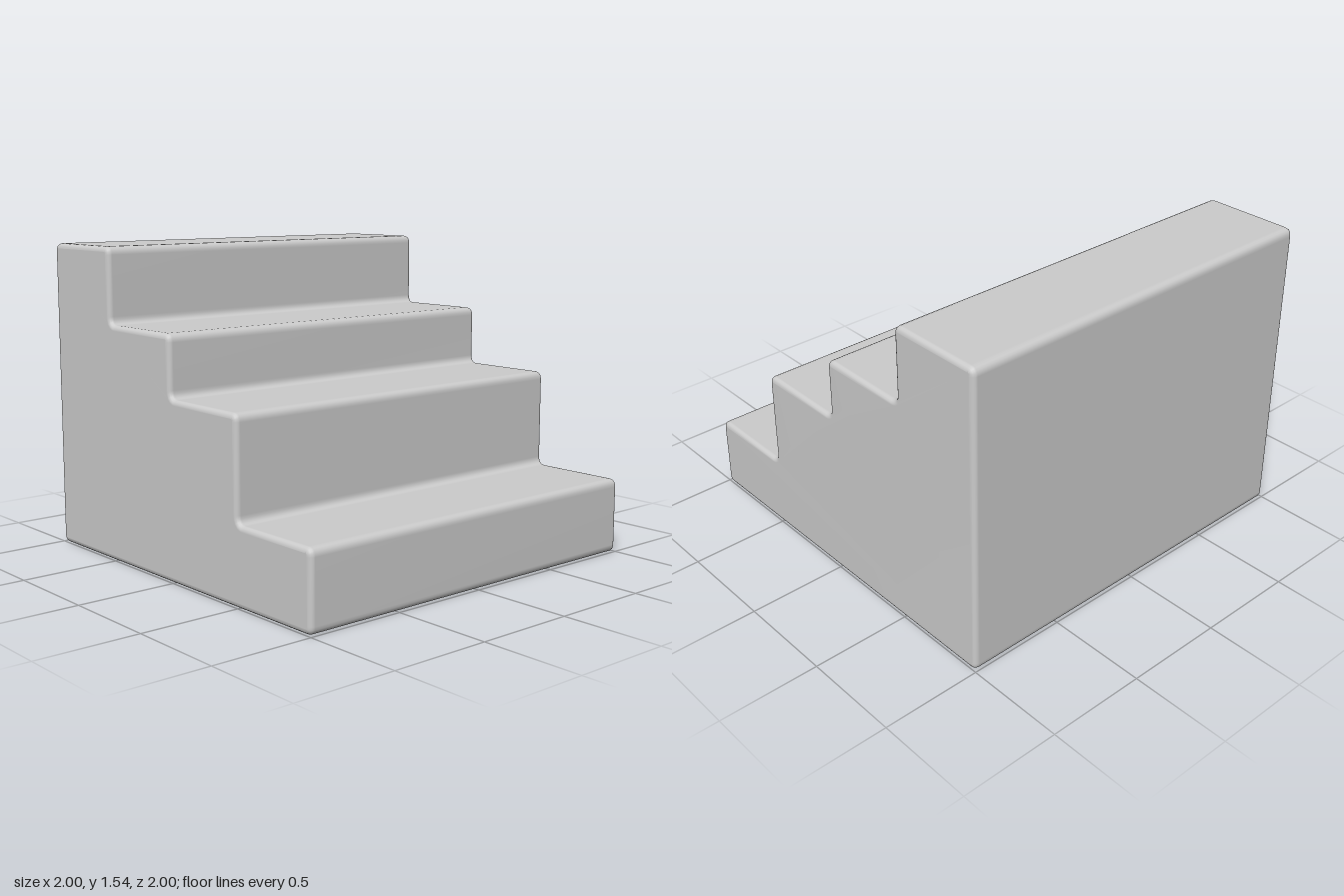
import * as THREE from 'three';
import { mergeVertices } from 'three/addons/utils/BufferGeometryUtils.js';

const TREAD_HEIGHTS = [0.375, 0.865, 1.165, 1.54]; // from +x to -x
const TREAD = 0.5, DEPTH = 2, ROUND = 0.04, BEVEL = 0.025;

// Closed outline with every corner, inner or outer, softened
function roundedOutline(corners, r) {
  const shape = new THREE.Shape();
  corners.forEach((c, i) => {
    const prev = corners.at(i - 1), next = corners[(i + 1) % corners.length];
    const toward = (p) => p.clone().sub(c).setLength(r).add(c);
    const a = toward(prev), b = toward(next);
    if (i === 0) shape.moveTo(a.x, a.y);
    else shape.lineTo(a.x, a.y);
    shape.quadraticCurveTo(c.x, c.y, b.x, b.y);
  });
  shape.closePath();
  return shape;
}

export function createModel() {
  const group = new THREE.Group();
  group.name = 'stairs';

  // Stepped side profile, counter-clockwise
  const corners = [new THREE.Vector2(-1, 0), new THREE.Vector2(1, 0)];
  TREAD_HEIGHTS.forEach((h, i) => {
    corners.push(new THREE.Vector2(1 - i * TREAD, h), new THREE.Vector2(1 - (i + 1) * TREAD, h));
  });

  // Solid block of steps with softened side edges
  const depth = DEPTH - 2 * BEVEL;
  let geometry = new THREE.ExtrudeGeometry(roundedOutline(corners, ROUND), {
    depth, curveSegments: 5, bevelEnabled: true, bevelThickness: BEVEL,
    bevelSize: BEVEL, bevelOffset: -BEVEL, bevelSegments: 4,
  });
  geometry.translate(0, 0, -depth / 2);

  // Area-weighted smooth normals keep the big faces flat
  geometry.deleteAttribute('normal');
  geometry.deleteAttribute('uv');
  geometry = mergeVertices(geometry, 1e-5);
  geometry.computeVertexNormals();

  const steps = new THREE.Mesh(geometry, new THREE.MeshStandardMaterial({ color: 0xcccccc }));
  steps.name = 'steps';
  group.add(steps);
  return group;
}
